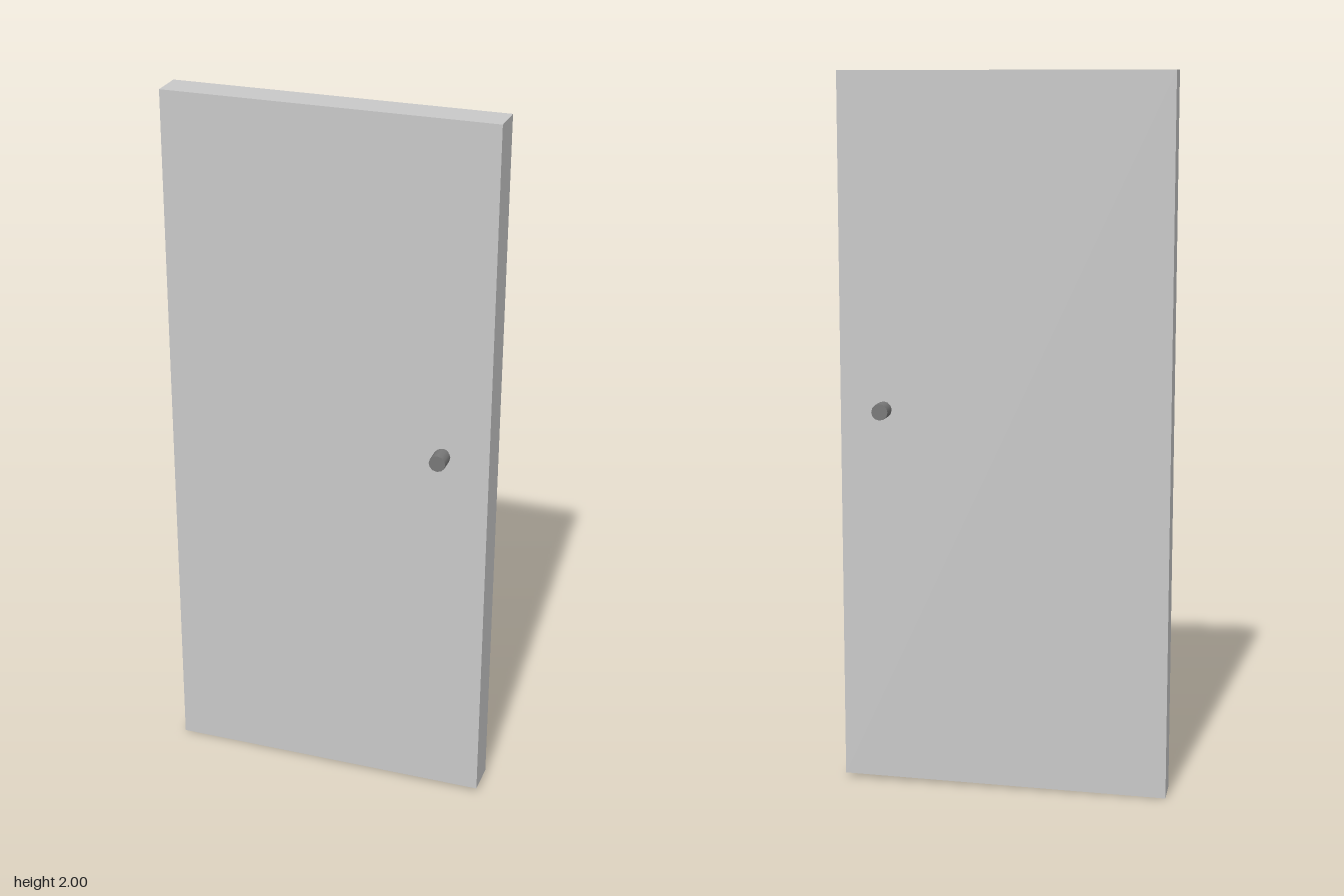
import * as THREE from 'three';

export function createModel() {
  const model = new THREE.Group();
  const doorGrey = new THREE.MeshStandardMaterial({ color: 0xc8c8c8 });
  doorGrey.name = 'doorGrey';
  const handleGrey = new THREE.MeshStandardMaterial({ color: 0x787878 });
  handleGrey.name = 'handleGrey';

  // Door slab: the bottom edge rises slightly to the right, and the sides lean a little
  const slab = new THREE.BoxGeometry(0.92, 2, 0.096);
  slab.translate(0, 1, -0.002);
  const p = slab.attributes.position;
  for (let i = 0; i < p.count; i++) {
    const right = p.getX(i) > 0;
    const low = p.getY(i) < 1;
    const front = p.getZ(i) > 0;
    if (right) p.setX(i, low ? 0.461 : 0.458);
    else p.setX(i, front ? -0.459 : -0.461);
    if (low) p.setY(i, right ? 0.014 : 0.002);
  }
  slab.computeVertexNormals();
  const door = new THREE.Mesh(slab, doorGrey);
  door.name = 'doorSlab';
  model.add(door);

  // Round part of a knob lying along z
  function round(name, radius, z0, z1) {
    const geo = new THREE.CylinderGeometry(radius, radius, Math.abs(z1 - z0), 12);
    geo.rotateX(Math.PI / 2);
    const mesh = new THREE.Mesh(geo, handleGrey);
    mesh.name = name;
    mesh.position.set(0.333, 1.08, (z0 + z1) / 2);
    return mesh;
  }

  // A stem and a knob on each face
  for (const [name, face, start, end] of [
    ['frontHandle', 0.04, 0.062, 0.109],
    ['backHandle', -0.04, -0.065, -0.112],
  ]) {
    const handle = new THREE.Group();
    handle.name = name;
    handle.add(round('stem', 0.015, face, start), round('knob', 0.023, start, end));
    model.add(handle);
  }

  return model;
}
